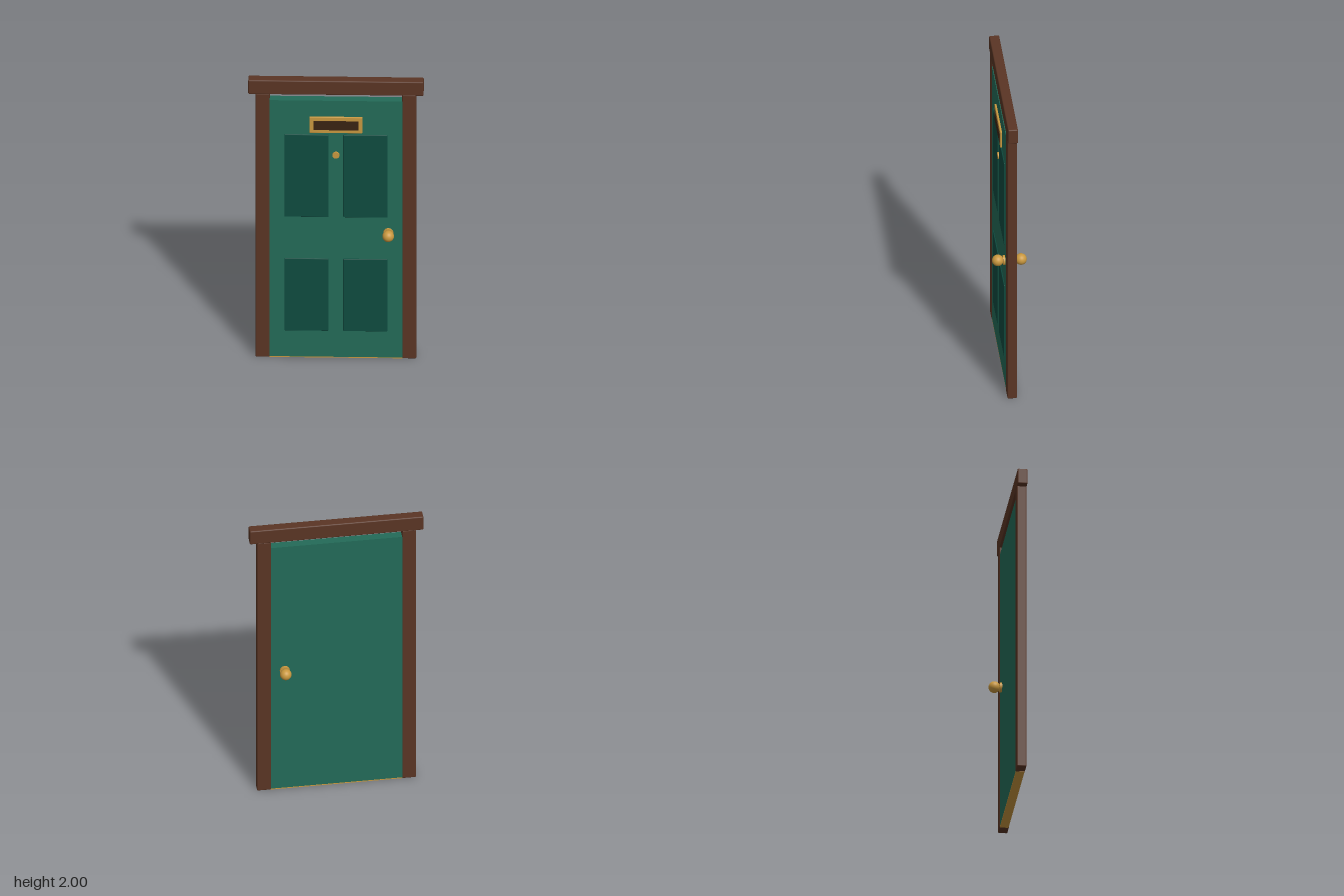
import * as THREE from 'three';
import { RoundedBoxGeometry } from 'three/addons/geometries/RoundedBoxGeometry.js';

const material = (name, color) => {
  const m = new THREE.MeshStandardMaterial({ color });
  m.name = name;
  return m;
};

export function createModel() {
  const door = new THREE.Group();
  door.name = 'door';

  const wood = material('dark wood', 0x5a3524);
  const green = material('green paint', 0x236b58);
  const deepGreen = material('deep green paint', 0x0f4c40);
  const brass = material('brass', 0xc9983f);
  const slotBrown = material('dark slot', 0x3a2412);

  const add = (name, geometry, mat, x, y, z) => {
    const mesh = new THREE.Mesh(geometry, mat);
    mesh.name = name;
    mesh.position.set(x, y, z);
    door.add(mesh);
    return mesh;
  };

  // Box given by its limits, with softly rounded edges when r > 0
  const block = (name, mat, [x0, x1], [y0, y1], [z0, z1], r = 0) => {
    const size = [x1 - x0, y1 - y0, z1 - z0];
    const geometry = r ? new RoundedBoxGeometry(...size, 2, r) : new THREE.BoxGeometry(...size);
    return add(name, geometry, mat, (x0 + x1) / 2, (y0 + y1) / 2, (z0 + z1) / 2);
  };

  // Disc whose axis points along z
  const disc = (name, radius, depth, x, y, z) =>
    add(name, new THREE.CylinderGeometry(radius, radius, depth, 24).rotateX(Math.PI / 2), brass, x, y, z);

  // Frame
  block('lintel', wood, [-0.54, 0.54], [1.9, 2], [-0.031, 0.031], 0.007);
  block('rightJamb', wood, [-0.495, -0.408], [0, 1.905], [-0.03, 0.03], 0.007);
  block('leftJamb', wood, [0.408, 0.495], [0, 1.905], [-0.03, 0.03], 0.007);
  block('threshold', brass, [-0.41, 0.41], [0, 0.006], [-0.027, 0.027]);

  // Door leaf, with a small gap below the lintel
  block('doorLeaf', green, [-0.41, 0.41], [0.006, 1.857], [-0.026, 0.027]);

  // Four raised panels
  for (const side of [-1, 1]) {
    const xs = [0.045, 0.317].map((x) => x * side).sort((a, b) => a - b);
    const label = side > 0 ? 'left' : 'right';
    block(`${label}UpperPanel`, deepGreen, xs, [1.018, 1.613], [0.02, 0.033], 0.004);
    block(`${label}LowerPanel`, deepGreen, xs, [0.195, 0.717], [0.02, 0.033], 0.004);
  }

  // Mail slot
  block('mailPlate', brass, [-0.163, 0.163], [1.63, 1.743], [0.02, 0.039], 0.003);
  block('mailSlot', slotBrown, [-0.138, 0.138], [1.654, 1.718], [0.036, 0.043]);

  // Peephole
  disc('peephole', 0.022, 0.016, 0, 1.468, 0.03);

  // Knobs on both faces, each on a round backing plate
  for (const side of [-1, 1]) {
    const label = side > 0 ? 'front' : 'back';
    disc(`${label}KnobPlate`, 0.031, 0.02, 0.323, 0.91, side * 0.03);
    disc(`${label}KnobStem`, 0.014, 0.04, 0.323, 0.91, side * 0.045);
    add(`${label}Knob`, new THREE.SphereGeometry(0.036, 32, 20), brass, 0.323, 0.91, side * 0.072);
  }

  return door;
}
